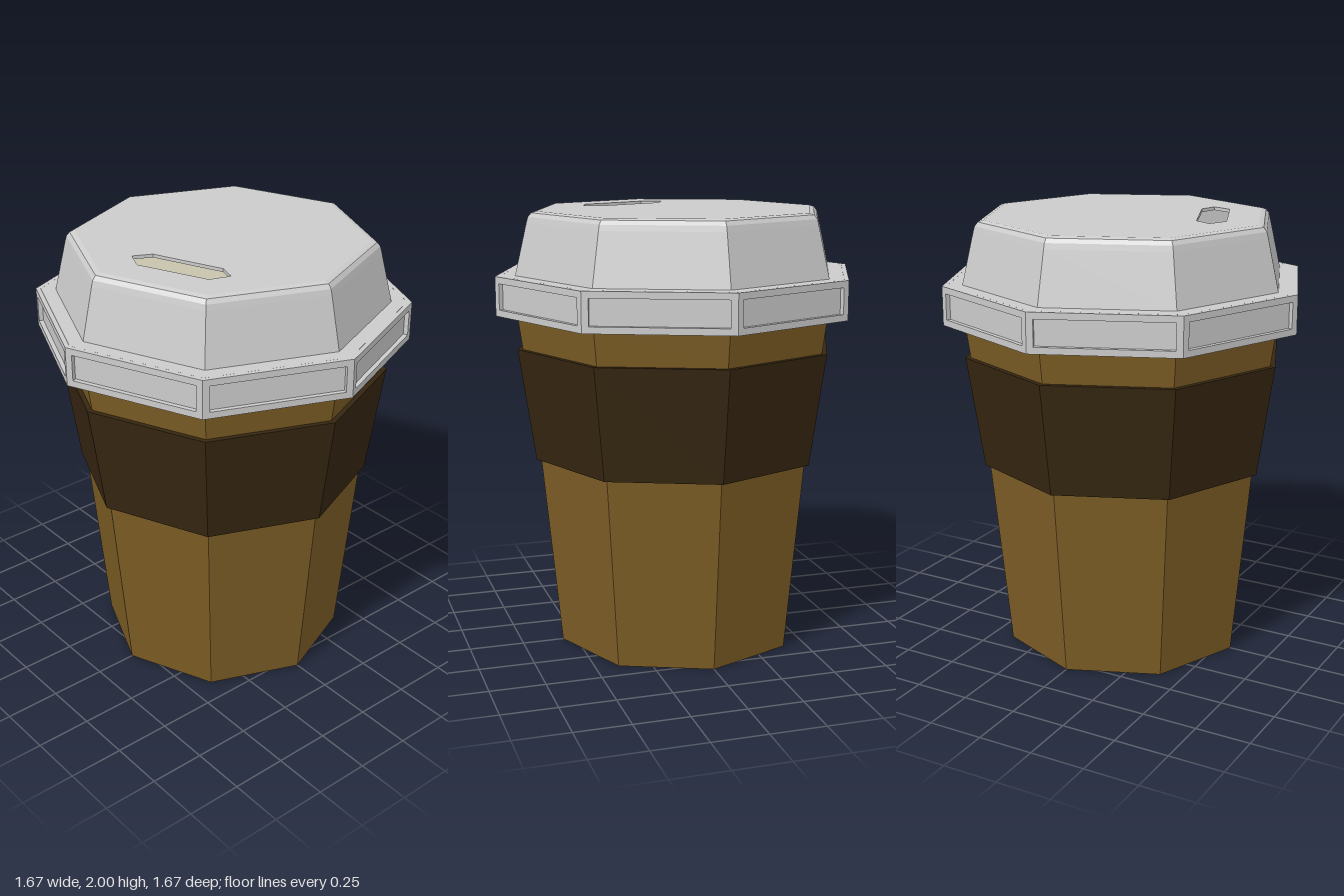
import * as THREE from 'three';

const SIDES = 8;

function material(color) {
  return new THREE.MeshStandardMaterial({ color, flatShading: true, side: THREE.DoubleSide });
}

export function createModel() {
  const group = new THREE.Group();
  const brown = material(0x7c5d25);
  const darkBrown = material(0x362611);
  const cream = material(0xe6e0c4);
  const grey = material(0xcccccc);

  function add(name, geometry, mat, parent = group) {
    const mesh = new THREE.Mesh(geometry, mat);
    mesh.name = name;
    parent.add(mesh);
    return mesh;
  }

  // Octagonal ring from [radius, height] points
  function octagon(name, profile, mat, parent) {
    const points = profile.map(([r, y]) => new THREE.Vector2(r, y));
    return add(name, new THREE.LatheGeometry(points, SIDES), mat, parent);
  }

  // Cup: outer wall, cream lining and recessed base
  octagon('cupWall', [[0.495, 0], [0.56, 0], [0.645, 0.88], [0.718, 1.39], [0.74, 1.545],
    [0.763, 1.7], [0.743, 1.7]], brown);
  octagon('cupLining', [[0.743, 1.7], [0.698, 1.39], [0.625, 0.88], [0.545, 0.12], [0, 0.12]], cream);
  octagon('cupBase', [[0, 0.1], [0.495, 0.1], [0.495, 0]], cream);

  // Sleeve
  octagon('sleeve', [[0.64, 0.88], [0.667, 0.88], [0.742, 1.39], [0.715, 1.39]], darkBrown);

  // Lid: hollow rim, sloping sides and softened top edge
  const lid = new THREE.Group();
  lid.name = 'lid';
  group.add(lid);
  octagon('lidShell', [[0.74, 1.705], [0.8, 1.705], [0.8, 1.545], [0.813, 1.545], [0.813, 1.72],
    [0.745, 1.72], [0.69, 1.95], [0.683, 1.975], [0.668, 1.993], [0.645, 2]], grey, lid);

  // Lid top with a sip hole, drawn in x and z
  const top = new THREE.Shape();
  for (let i = 0; i < SIDES; i++) {
    const a = (i / SIDES) * Math.PI * 2;
    top[i ? 'lineTo' : 'moveTo'](0.645 * Math.cos(a), 0.645 * Math.sin(a));
  }
  top.closePath();
  const sip = [[-0.06, 0.44], [-0.02, 0.36], [0.29, 0.235], [0.37, 0.26], [0.34, 0.35], [0.03, 0.48]];
  top.holes.push(new THREE.Path(sip.map(([x, z]) => new THREE.Vector2(x, z))));
  const topGeometry = new THREE.ExtrudeGeometry(top, { depth: 0.015, bevelEnabled: false });
  topGeometry.rotateX(Math.PI / 2);
  add('lidTop', topGeometry, grey, lid).position.y = 2;

  // Raised frames around the recessed rim panels
  const rimRadius = 0.835;
  const apothem = rimRadius * Math.cos(Math.PI / SIDES);
  const half = rimRadius * Math.sin(Math.PI / SIDES);
  const rectangle = (Type, w, h) => new Type([[-w, -h], [w, -h], [w, h], [-w, h]]
    .map(([x, y]) => new THREE.Vector2(x, y)));
  const frame = rectangle(THREE.Shape, half, 0.0875);
  frame.holes.push(rectangle(THREE.Path, 0.29, 0.058));
  const frameGeometry = new THREE.ExtrudeGeometry(frame, { depth: 0.02, bevelEnabled: false });
  frameGeometry.translate(0, 1.6325, apothem - 0.02);
  for (let i = 0; i < SIDES; i++) {
    add('rimFrame', frameGeometry, grey, lid).rotation.y = ((i + 0.5) / SIDES) * Math.PI * 2;
  }

  return group;
}
